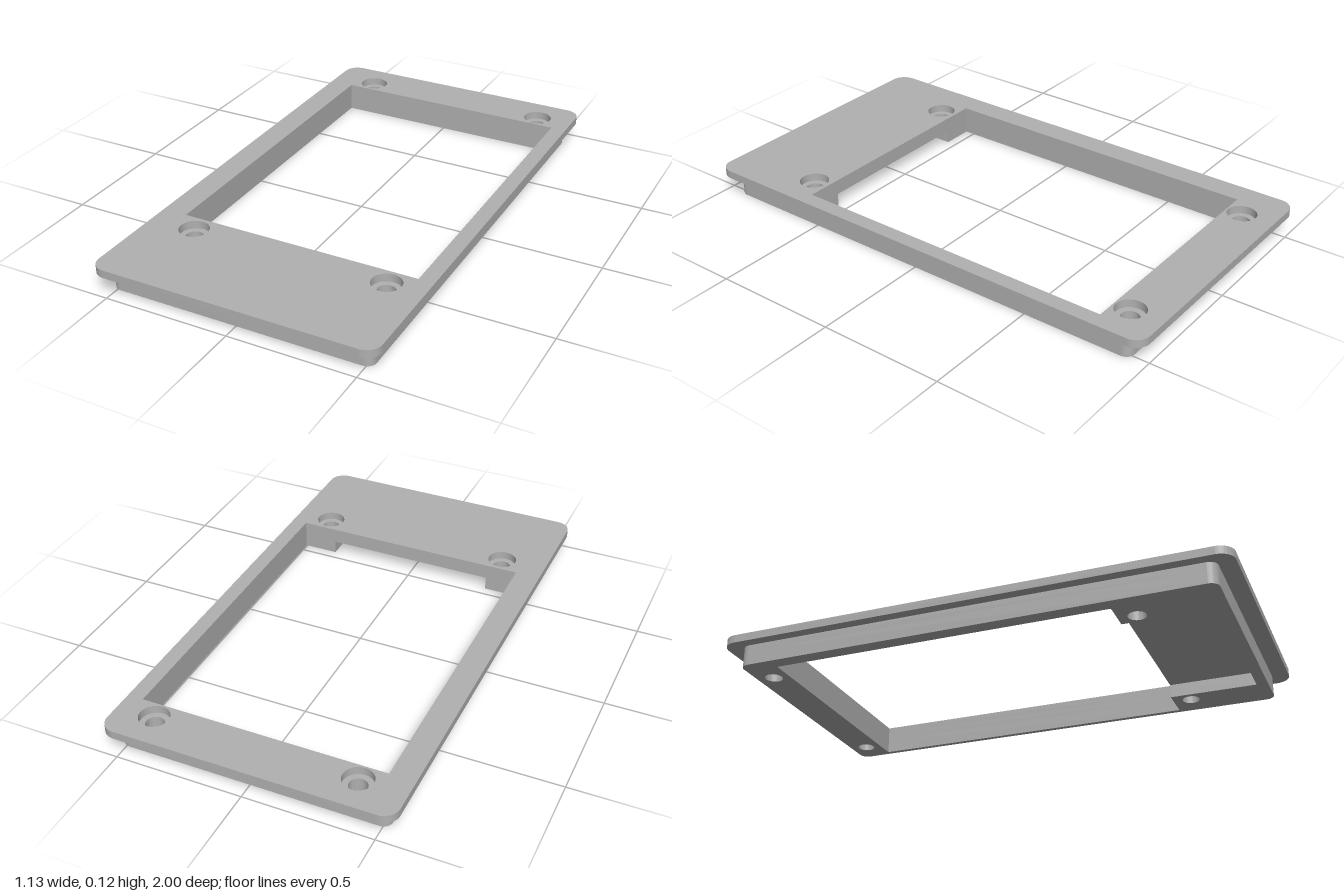
import * as THREE from 'three';
import { toCreasedNormals } from 'three/addons/utils/BufferGeometryUtils.js';

const grey = new THREE.MeshStandardMaterial({ color: 0xb0b0b0 });
grey.name = 'grey';

// Screw positions as [x, z]
const screws = [-0.38, 0.415].flatMap(x => [-0.867, 0.612].map(z => [x, z]));
// Window edges and the pocket that opens from it on the underside
const win = { x0: -0.465, x1: 0.503, z0: -0.802, z1: 0.54 };
const pocket = { x0: -0.336, x1: 0.362, z1: 0.89 };

// Rounded rectangle centred on the origin
function roundedRect(w, d, r) {
  const s = new THREE.Shape(), h = Math.PI / 2;
  s.absarc(w - r, d - r, r, 0, h);
  s.absarc(-w + r, d - r, r, h, 2 * h);
  s.absarc(-w + r, -d + r, r, 2 * h, 3 * h);
  s.absarc(w - r, -d + r, r, 3 * h, 4 * h);
  s.closePath();
  return s;
}

// Hole from [x, z] corners; the shape plane uses -z as its second axis
const polygonHole = pts => new THREE.Path(pts.map(([x, z]) => new THREE.Vector2(x, -z)));

// One horizontal layer with a window and four round holes
function layer(name, outline, opening, holeRadius, y0, y1) {
  outline.holes.push(polygonHole(opening));
  for (const [x, z] of screws) {
    outline.holes.push(new THREE.Path().absarc(x, -z, holeRadius, 0, Math.PI * 2, true));
  }
  const geo = new THREE.ExtrudeGeometry(outline, { depth: y1 - y0, bevelEnabled: false, curveSegments: 16 });
  geo.rotateX(-Math.PI / 2).translate(0, y0, 0);
  const mesh = new THREE.Mesh(toCreasedNormals(geo, 0.6), grey);
  mesh.name = name;
  return mesh;
}

export function createModel() {
  const model = new THREE.Group();
  model.name = 'coverFrame';

  const plain = [[win.x0, win.z0], [win.x1, win.z0], [win.x1, win.z1], [win.x0, win.z1]];
  const notched = [
    [win.x0, win.z0], [win.x1, win.z0], [win.x1, win.z1],
    [pocket.x1, win.z1], [pocket.x1, pocket.z1], [pocket.x0, pocket.z1], [pocket.x0, win.z1],
    [win.x0, win.z1],
  ];

  model.add(
    // Insert rim, with the pocket cut through its lower part
    layer('lowerRim', roundedRect(0.523, 0.935, 0.035), notched, 0.035, 0, 0.054),
    // Pocket ceiling and counterbore floor
    layer('upperRim', roundedRect(0.523, 0.935, 0.035), plain, 0.035, 0.054, 0.083),
    // Overhanging plate with wide screw recesses
    layer('facePlate', roundedRect(0.565, 1, 0.06), plain, 0.058, 0.083, 0.115),
  );
  return model;
}
